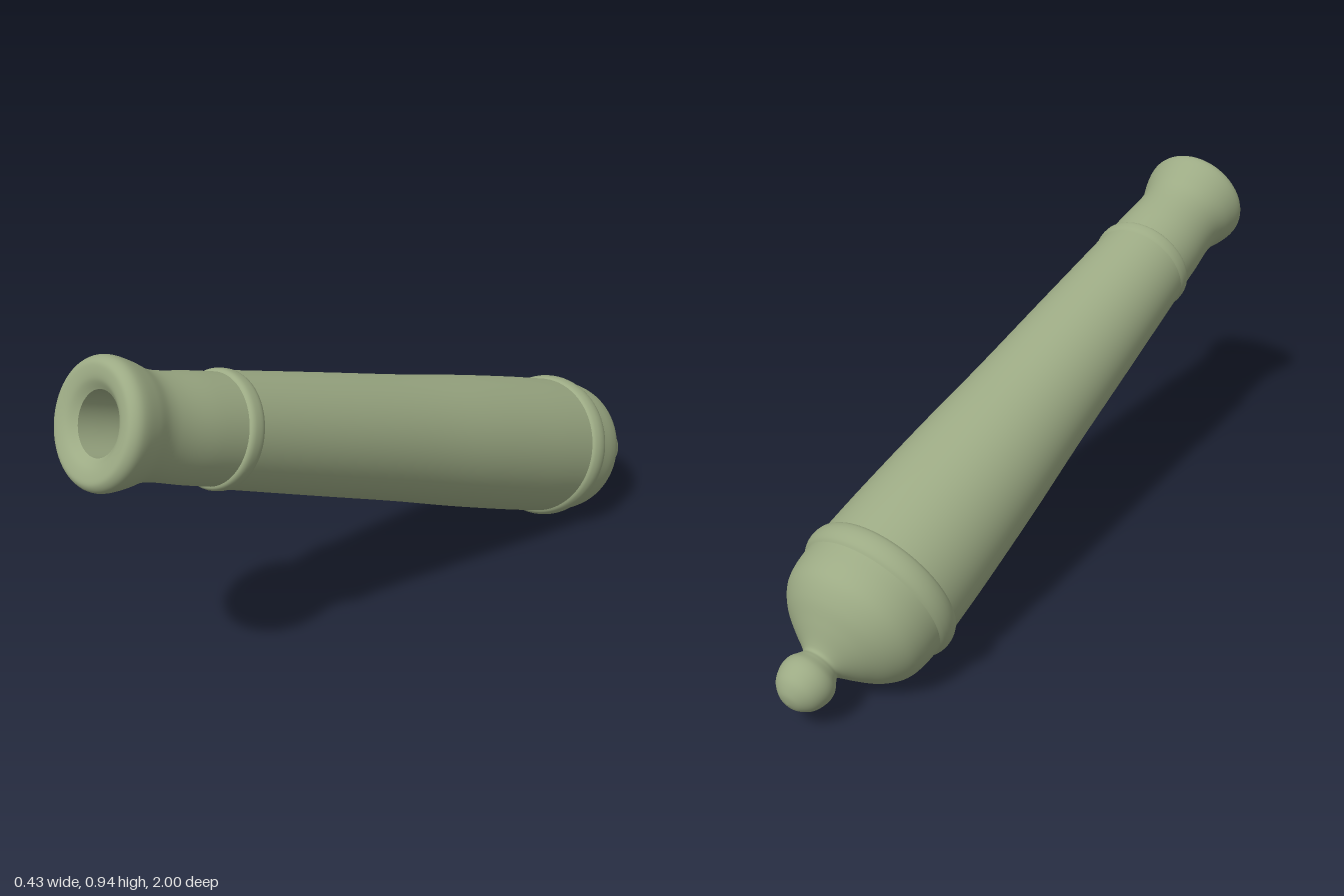
import * as THREE from 'three';

const SEGMENTS = 72;
const material = new THREE.MeshStandardMaterial({ color: 0x9caa84, side: THREE.DoubleSide });

// Revolves [radius, distance along the axis] pairs, optionally smoothed by a spline.
function turned(name, pairs, divisions = 0) {
  let points = pairs.map(([r, t]) => new THREE.Vector2(r, t));
  if (divisions) points = new THREE.SplineCurve(points).getPoints(divisions);
  points.forEach((p) => { p.x = Math.max(p.x, 0); });
  const mesh = new THREE.Mesh(new THREE.LatheGeometry(points, SEGMENTS), material);
  mesh.name = name;
  return mesh;
}

export function createModel() {
  const model = new THREE.Group();
  model.name = 'cannon';
  const barrel = new THREE.Group();
  barrel.name = 'barrel';

  barrel.add(
    // rear knob, its neck and the domed breech
    turned('breech', [
      [0, -1.058], [0.03, -1.051], [0.058, -1.028], [0.071, -0.995], [0.07, -0.968],
      [0.057, -0.945], [0.052, -0.932], [0.066, -0.918], [0.11, -0.89], [0.155, -0.857],
      [0.187, -0.818], [0.2, -0.775], [0.204, -0.725],
    ], 72),
    // rounded base ring
    turned('baseRing', [
      [0.204, -0.725], [0.211, -0.716], [0.216, -0.7], [0.216, -0.682],
      [0.211, -0.666], [0.204, -0.658],
    ], 20),
    // long tapered tube
    turned('tube', [
      [0.204, -0.658], [0.2, -0.5], [0.189, -0.25], [0.174, 0], [0.16, 0.3], [0.144, 0.625],
    ], 30),
    // small step before the neck
    turned('muzzleRing', [
      [0.144, 0.625], [0.148, 0.635], [0.148, 0.654], [0.144, 0.664], [0.138, 0.668],
    ], 12),
    // neck, flared swell and rounded lip
    turned('muzzle', [
      [0.138, 0.668], [0.135, 0.75], [0.129, 0.84], [0.132, 0.89], [0.146, 0.935],
      [0.155, 0.975], [0.153, 0.998], [0.14, 1.013], [0.122, 1.015], [0.098, 1.009], [0.077, 0.993],
    ], 60),
    // hollow bore and its floor
    turned('bore', [[0.077, 0.993], [0.077, 0.4]]),
    turned('boreFloor', [[0.077, 0.4], [0, 0.4]]),
  );

  // muzzle raised 20 degrees towards the front
  barrel.rotation.x = THREE.MathUtils.degToRad(70);
  barrel.position.y = 0.457;
  model.add(barrel);
  return model;
}
